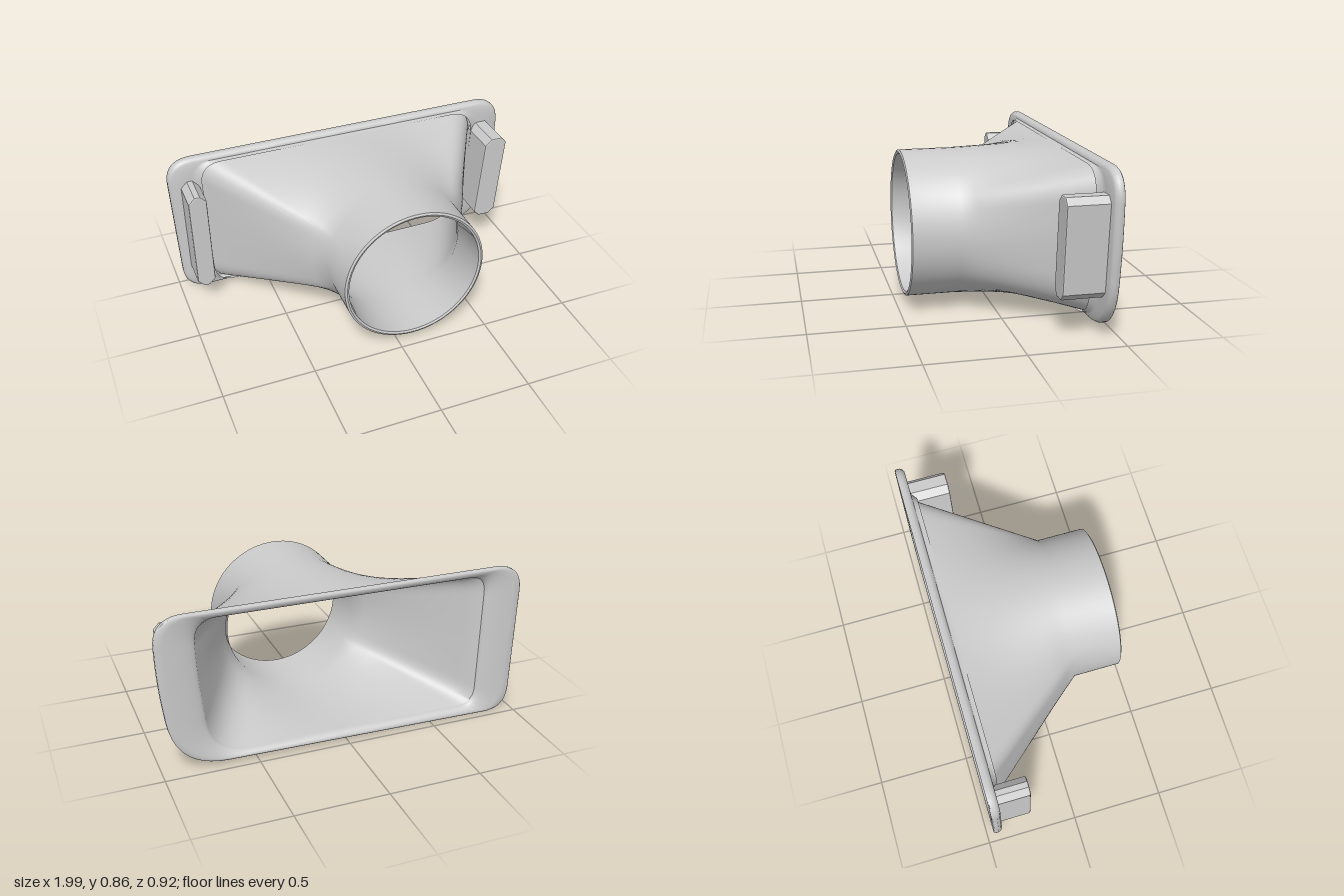
import * as THREE from 'three';
import { toCreasedNormals } from 'three/addons/utils/BufferGeometryUtils.js';

const CX = 0.085, CY = 0.437; // axis of the round spigot

// Corners as [x, y, rounding length], counter-clockwise
const FLANGE = [[-1, 0.867, 0.15], [-0.972, 0, 0.14], [0.93, 0.03, 0.28], [0.995, 0.52, 0.15], [1.003, 0.867, 0.16]];
const DUCT = [[-0.82, 0.838, 0.12], [-0.8, 0.032, 0.12], [0.75, 0.042, 0.22], [0.8, 0.52, 0.12], [0.815, 0.838, 0.15]];

const inset = (corners, d) => corners.map(([x, y, r]) =>
  [x - Math.sign(x) * d, y - Math.sign(y - CY) * d, Math.max(r - d, 0.02)]);

// Outline with curved corners; always the same number of points
function outline(corners) {
  const v = corners.map(([x, y]) => new THREE.Vector2(x, y));
  const n = v.length, pts = [];
  const toward = (a, b, d) => a.clone().add(b.clone().sub(a).setLength(d));
  for (let i = 0; i < n; i++) {
    const c = v[i], next = v[(i + 1) % n];
    const a = toward(c, v[(i + n - 1) % n], corners[i][2]);
    const b = toward(c, next, corners[i][2]);
    const e = toward(next, c, corners[(i + 1) % n][2]);
    pts.push(...new THREE.QuadraticBezierCurve(a, c, b).getPoints(10));
    for (let k = 1; k < 32; k++) pts.push(b.clone().lerp(e, k / 32));
  }
  return pts;
}

// Circle whose points sit at the same angles as an outline's points
const circle = (pts, r) => pts.map(p => {
  const a = Math.atan2(p.y - CY, p.x - CX);
  return new THREE.Vector2(CX + r * Math.cos(a), CY + r * Math.sin(a));
});

const blend = (a, b, t) => a.map((p, i) => p.clone().lerp(b[i], t));

// Skin through rings [points, z]
function loft(name, rings, material, crease) {
  const pos = [], index = [], n = rings[0][0].length;
  for (const [pts, z] of rings) for (const p of pts) pos.push(p.x, p.y, z);
  for (let r = 0; r < rings.length - 1; r++) {
    for (let j = 0; j < n; j++) {
      const a = r * n + j, b = r * n + (j + 1) % n, c = a + n, d = b + n;
      index.push(a, c, b, b, c, d);
    }
  }
  const g = new THREE.BufferGeometry();
  g.setAttribute('position', new THREE.Float32BufferAttribute(pos, 3));
  g.setIndex(index);
  const mesh = new THREE.Mesh(toCreasedNormals(g, crease), material);
  mesh.name = name;
  return mesh;
}

// Upright mounting tab with clipped corners, leaning by dx over its height
function tab(name, x0, x1, y0, y1, dx, z1, material) {
  const c = 0.035, b = 0.008, s = new THREE.Shape();
  const pts = [[x0, y0 + c], [x0 + c, y0], [x1 - c, y0], [x1, y0 + c],
    [x1, y1 - c], [x1 - c, y1], [x0 + c, y1], [x0, y1 - c]];
  s.setFromPoints(pts.map(([x, y]) => new THREE.Vector2(x + dx * (y - y0) / (y1 - y0), y)));
  const g = new THREE.ExtrudeGeometry(s, {
    depth: z1 + 0.425 - b, bevelThickness: b, bevelSize: b, bevelOffset: -b, bevelSegments: 2,
  });
  g.translate(0, 0, -0.425);
  const mesh = new THREE.Mesh(g, material);
  mesh.name = name;
  return mesh;
}

export function createModel() {
  const group = new THREE.Group();
  const material = new THREE.MeshStandardMaterial({ color: 0xcccccc, side: THREE.DoubleSide });

  const outer = outline(DUCT), inner = outline(inset(DUCT, 0.018));
  const roundOut = circle(outer, 0.393), roundIn = circle(outer, 0.37);
  const zRim = 0.46, zNeck = 0.2, zBase = -0.42, steps = 8;

  // Duct: round spigot, flared outside, then back up the inside
  const rings = [[blend(roundOut, roundIn, 0.5), zRim], [roundOut, zRim - 0.006]];
  for (let i = 0; i <= steps; i++) {
    const t = i / steps;
    rings.push([blend(roundOut, outer, t), zNeck + (zBase - zNeck) * t]);
  }
  for (let i = steps; i >= 0; i--) {
    const t = i / steps;
    rings.push([blend(roundIn, inner, t), zNeck + (zBase - zNeck) * t]);
  }
  rings.push([roundIn, zRim - 0.006], [blend(roundOut, roundIn, 0.5), zRim]);
  group.add(loft('duct', rings, material, 0.9));

  // Flange: fillet at the duct, rounded front edge, bell-mouthed back
  const edge = outline(FLANGE), edgeIn = outline(inset(FLANGE, 0.02));
  const plate = [[outer, -0.385], [blend(outer, edgeIn, 0.15), -0.407], [blend(outer, edgeIn, 0.35), -0.412],
    [edgeIn, -0.412], [blend(edgeIn, edge, 0.6), -0.419], [edge, -0.434], [edge, -0.457],
    [blend(edge, edgeIn, 0.3), -0.462]];
  const lip = plate[plate.length - 1][0];
  for (let i = 1; i <= 8; i++) {
    const a = (i / 8) * Math.PI / 2;
    plate.push([blend(lip, inner, Math.sin(a)), -0.42 - 0.042 * Math.cos(a)]);
  }
  group.add(loft('flange', plate, material, 0.9));

  // Mounting tabs
  group.add(tab('rightTab', -0.93, -0.83, 0.14, 0.735, 0, -0.24, material));
  group.add(tab('leftTab', 0.768, 0.902, 0.213, 0.735, 0.048, -0.197, material));
  return group;
}
